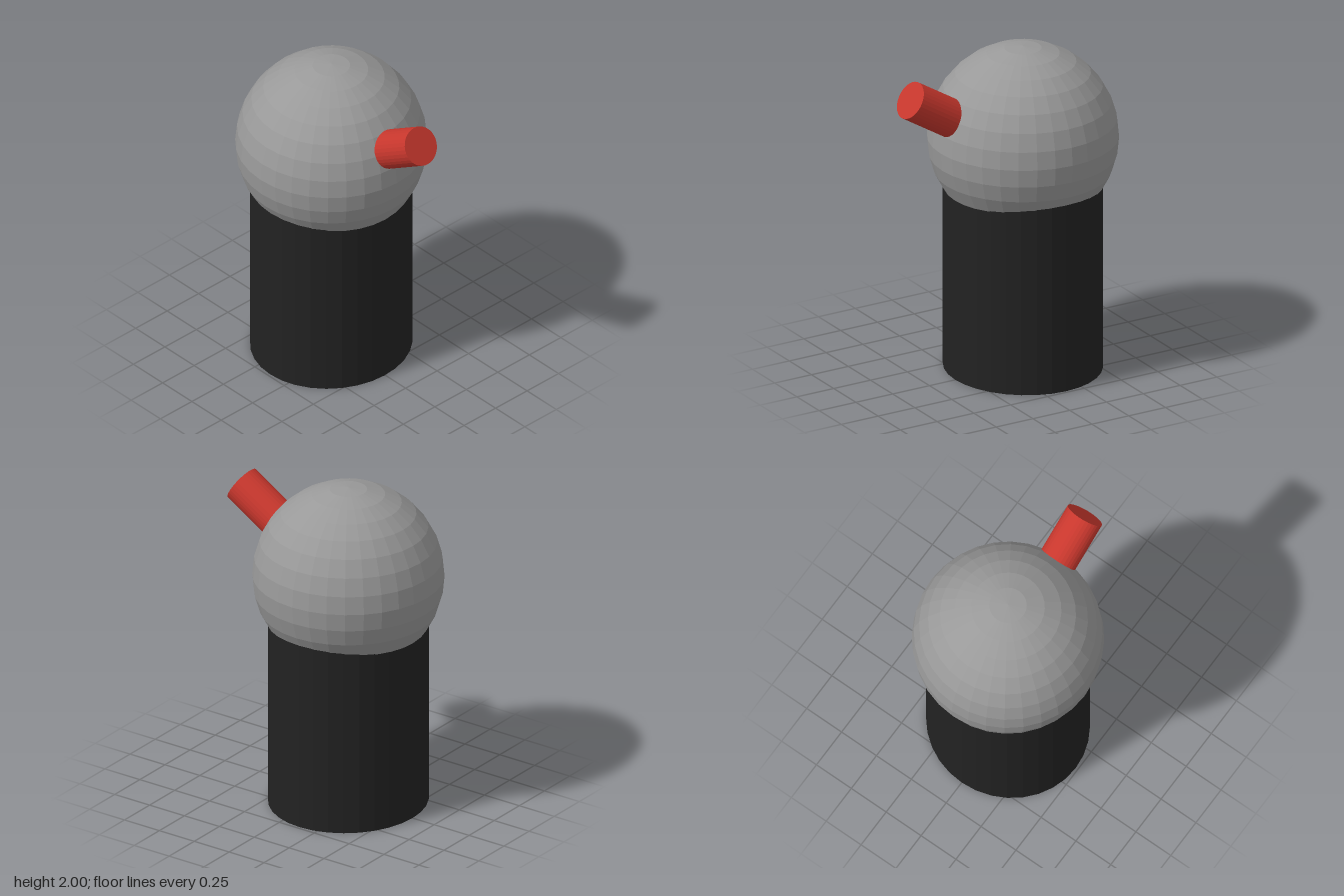
import * as THREE from 'three';

const CENTER_X = -0.135;

function part(name, geometry, color) {
  const material = new THREE.MeshStandardMaterial({ color, flatShading: true });
  const mesh = new THREE.Mesh(geometry, material);
  mesh.name = name;
  return mesh;
}

export function createModel() {
  const model = new THREE.Group();
  model.name = 'domedPost';

  // Slightly oval column, its top hidden inside the ball
  const columnHeight = 1.3;
  const column = part('column', new THREE.CylinderGeometry(1, 1, columnHeight, 32), 0x222222);
  column.scale.set(0.46, 1, 0.485);
  column.position.set(CENTER_X, columnHeight / 2, 0);
  model.add(column);

  // Faceted ball on top
  const ball = part('ball', new THREE.SphereGeometry(0.56, 32, 16), 0x999999);
  ball.position.set(CENTER_X, 1.44, 0);
  model.add(ball);

  // Short spout leaning up and out of the ball's left side
  const spoutLength = 0.46;
  const tilt = THREE.MathUtils.degToRad(31.6);
  const spout = part('spout', new THREE.CylinderGeometry(0.115, 0.115, spoutLength, 32), 0xc8372d);
  spout.rotation.z = tilt - Math.PI / 2;
  spout.position.set(
    0.63 - Math.cos(tilt) * spoutLength / 2,
    1.817 - Math.sin(tilt) * spoutLength / 2,
    0
  );
  model.add(spout);

  return model;
}
